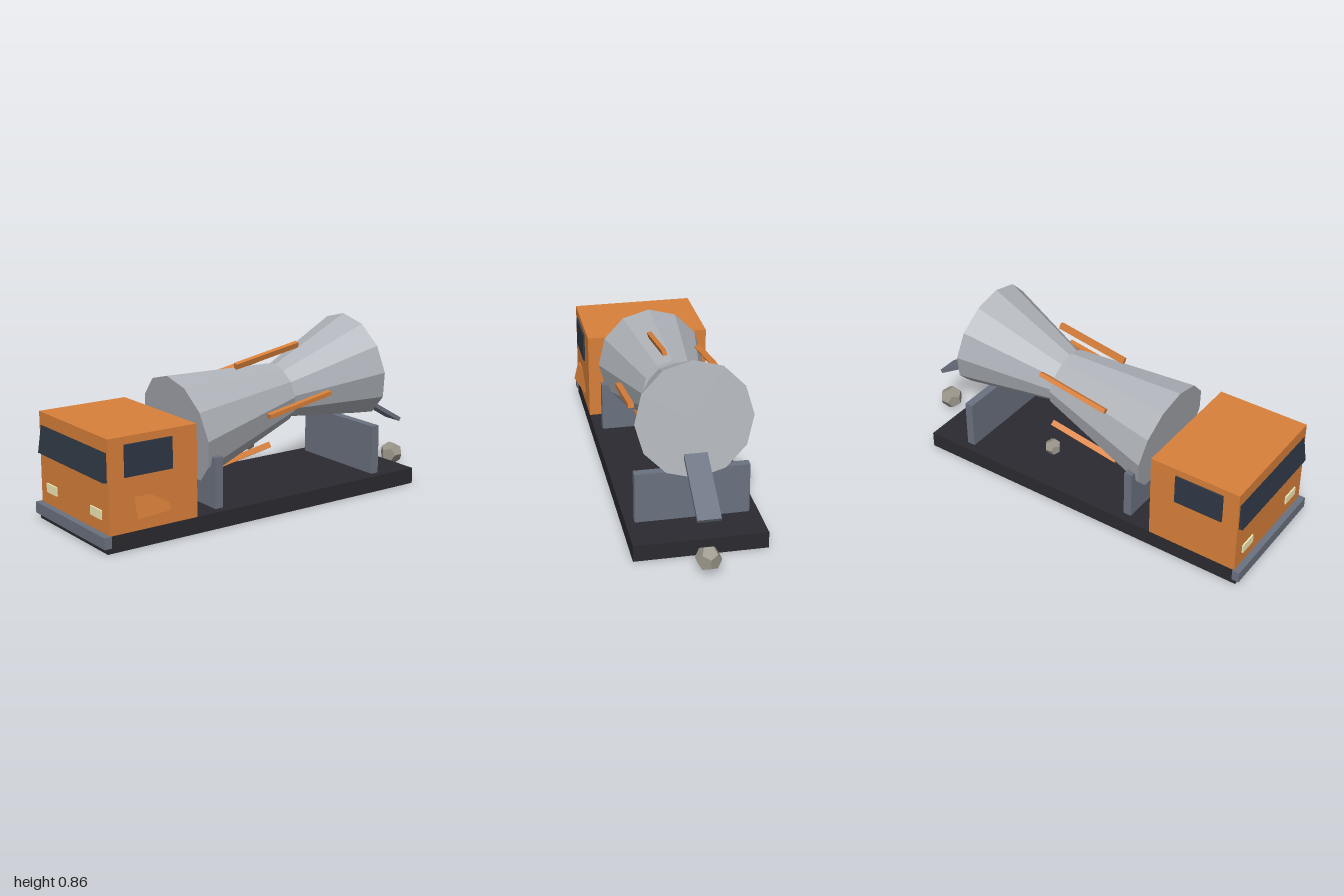
import * as THREE from 'three';

const mat = (color) => new THREE.MeshStandardMaterial({ color, flatShading: true });
const CX = -0.012; // centre line of the truck

export function createModel() {
  const model = new THREE.Group();
  model.name = 'mixerTruck';

  const orange = mat(0xd9803a);
  const dark = mat(0x2a2a30);
  const steel = mat(0x6b7280);
  const glass = mat(0x2f3845);
  const lamp = mat(0xf5ecb8);
  const drumGrey = mat(0xb0b4ba);
  const stone = mat(0x9a958a);

  function add(parent, name, geometry, material, x, y, z) {
    const mesh = new THREE.Mesh(geometry, material);
    mesh.name = name;
    mesh.position.set(x, y, z);
    parent.add(mesh);
    return mesh;
  }
  const box = (name, material, w, h, d, x, y, z, parent = model) =>
    add(parent, name, new THREE.BoxGeometry(w, h, d), material, x, y, z);

  // Chassis and bumper
  box('chassis', dark, 0.62, 0.08, 1.786, CX, 0.04, 0.087);
  box('bumper', steel, 0.638, 0.054, 0.036, CX, 0.055, 0.982);

  // Cab with windows, headlights and the bent door panel
  box('cab', orange, 0.62, 0.437, 0.458, CX, 0.2985, 0.74);
  box('windshield', glass, 0.596, 0.16, 0.02, CX, 0.4, 0.967).rotation.x = -0.15;
  for (const side of [-1, 1]) {
    box('sideWindow', glass, 0.02, 0.147, 0.245, CX + side * 0.309, 0.408, 0.767);
    box('headlight', lamp, 0.093, 0.043, 0.02, CX + side * 0.203, 0.164, 0.966);
  }
  box('doorPanel', orange, 0.024, 0.095, 0.19, 0.297, 0.188, 0.755).rotation.set(0, 0.14, 0.24);

  // Drum cradles
  for (const z of [0.361, -0.589]) {
    box('drumSupport', steel, 0.534, 0.245, 0.042, CX, 0.2025, z);
  }

  // Tilted drum: local y runs along the axis to the rear, local z points up
  const drum = new THREE.Group();
  drum.name = 'drum';
  drum.position.set(CX, 0.406, 0.42);
  drum.rotation.x = -Math.PI / 2 + 0.172;
  model.add(drum);
  add(drum, 'frontDrum', new THREE.CylinderGeometry(0.15, 0.27, 0.6, 12), drumGrey, 0, 0.3, 0);
  add(drum, 'rearDrum', new THREE.CylinderGeometry(0.27, 0.132, 0.48, 12), drumGrey, 0, 0.835, 0);

  // Blades spiralling round the drum: [angle in degrees, distance along the axis]
  for (const [degrees, along] of [[-62, 0.25], [-141, 0.35], [148, 0.448], [75, 0.531], [-2, 0.563]]) {
    const a = THREE.MathUtils.degToRad(degrees);
    const blade = box('drumBlade', orange, 0.028, 0.375, 0.021,
      0.229 * Math.cos(a), along, 0.229 * Math.sin(a), drum);
    blade.rotation.y = -a;
  }

  // Discharge chute
  box('chute', steel, 0.107, 0.02, 0.336, CX, 0.345, -0.805).rotation.x = -0.53;

  // Loose stones
  add(model, 'stone', new THREE.DodecahedronGeometry(0.06), stone, CX, 0.067, -0.942);
  add(model, 'smallStone', new THREE.DodecahedronGeometry(0.042), stone, -0.2, 0.217, -0.13);

  return model;
}
